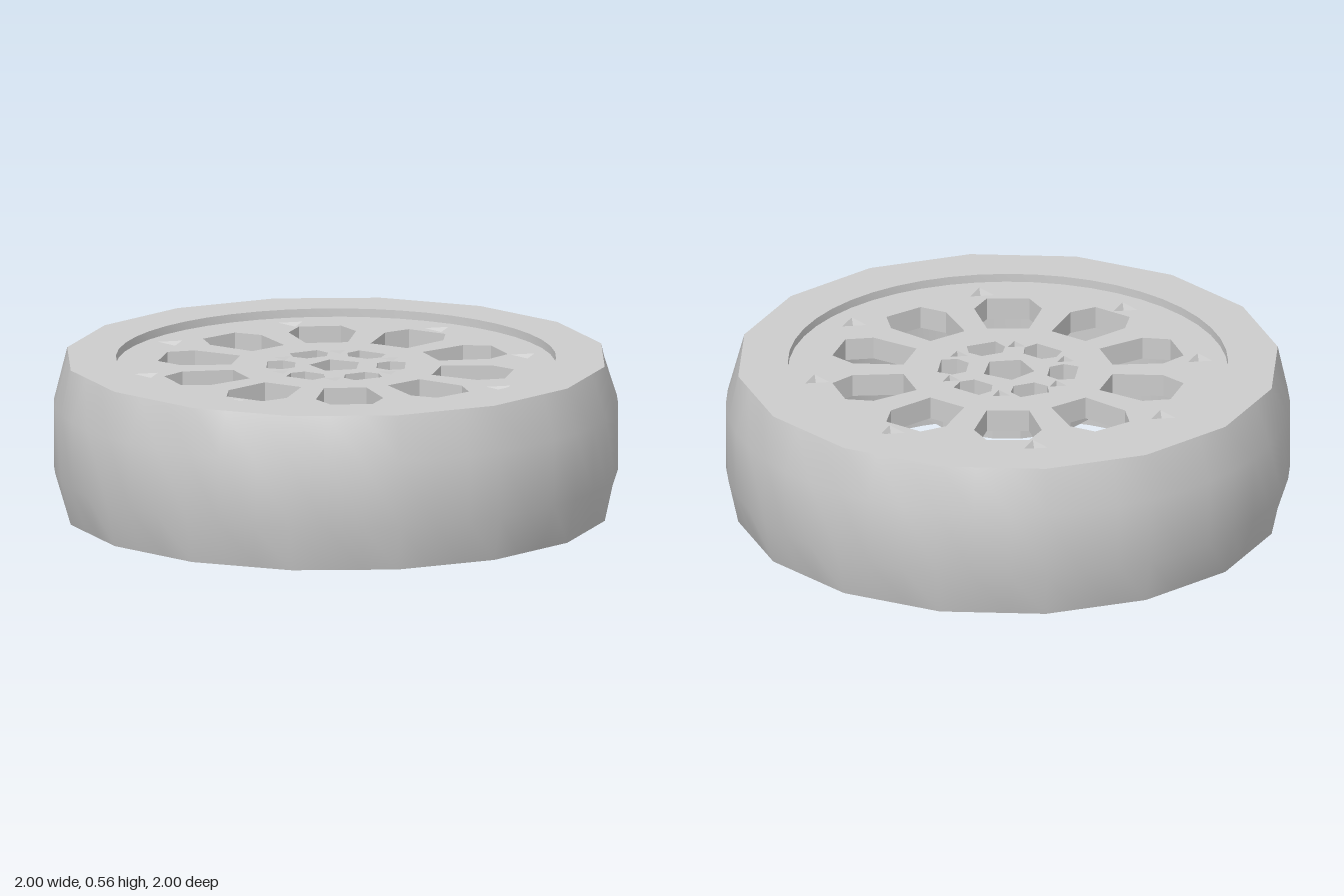
import * as THREE from 'three';
import { toCreasedNormals } from 'three/addons/utils/BufferGeometryUtils.js';

const SIDES = 48, EDGE_SIDES = 16;
const EDGE_RADIUS = 0.965, DISC_TOP = 0.53, DISC_BOTTOM = 0.45, HUB_BOTTOM = 0.4;
const DEG = Math.PI / 180;

// 2D outline point from a ground-plane position (x, z)
const ground = (x, z) => new THREE.Vector2(x, -z);

// Regular polygon, counter-clockwise from above
function ring(radius, sides, start = 0) {
  return Array.from({ length: sides }, (_, i) => {
    const a = start - (i / sides) * Math.PI * 2;
    return ground(radius * Math.cos(a), radius * Math.sin(a));
  });
}

// Outline given as (distance from axle, sideways offset), turned to an angle
function radialOutline(points, angle) {
  const c = Math.cos(angle), s = Math.sin(angle);
  return points.map(([r, t]) => ground(r * c - t * s, r * s + t * c));
}

// Horizontal plate with holes between two heights
function plate(outline, holes, bottom, top) {
  const shape = new THREE.Shape(outline);
  holes.forEach((h) => shape.holes.push(new THREE.Path(h)));
  const geo = new THREE.ExtrudeGeometry(shape, { depth: top - bottom, bevelEnabled: false });
  geo.rotateX(-Math.PI / 2);
  geo.translate(0, bottom, 0);
  return geo;
}

const lathe = (profile) => new THREE.LatheGeometry(
  profile.map(([r, y]) => new THREE.Vector2(r, y)), SIDES);

// Cut the round edge at one radius down to a coarser polygon
function coarsenEdge(geo) {
  const pos = geo.attributes.position, step = (Math.PI * 2) / EDGE_SIDES;
  for (let i = 0; i < pos.count; i++) {
    const x = pos.getX(i), z = pos.getZ(i);
    if (Math.abs(Math.hypot(x, z) - EDGE_RADIUS) > 0.005) continue;
    const a = Math.atan2(x, z);
    const offset = a - Math.round(a / step - 0.5) * step - step / 2;
    const f = Math.cos(step / 2) / Math.cos(offset);
    pos.setX(i, x * f);
    pos.setZ(i, z * f);
  }
  return geo;
}

// Shallow three-sided pit sunk into the wheel face
function makePit(radius, depth) {
  const geo = new THREE.ConeGeometry(radius, depth, 3, 1, true).toNonIndexed();
  geo.scale(1, -1, 1);
  geo.translate(0, DISC_TOP - depth / 2, 0);
  geo.computeVertexNormals();
  return geo;
}

export function createModel() {
  const group = new THREE.Group();
  const grey = new THREE.MeshStandardMaterial({ color: 0xcccccc });
  grey.name = 'light grey';
  const add = (name, geo) => {
    const mesh = new THREE.Mesh(geo, grey);
    mesh.name = name;
    group.add(mesh);
    return mesh;
  };

  // Tyre with a shallow lip around the wheel face
  add('tyre', toCreasedNormals(coarsenEdge(lathe([
    [0.78, 0], [EDGE_RADIUS, 0], [1, 0.16], [1, 0.4], [EDGE_RADIUS, 0.56],
    [0.78, 0.56], [0.78, DISC_TOP],
  ])), 32 * DEG));

  // Hollow barrel behind the face, stepped at its open end
  add('rimBarrel', toCreasedNormals(lathe([
    [0.72, DISC_BOTTOM], [0.72, 0.09], [0.78, 0.09], [0.78, 0],
  ]), 32 * DEG));

  // Ten openings between the spokes
  const spokeHole = [[0.365, -0.075], [0.54, -0.12], [0.63, -0.075],
    [0.63, 0.075], [0.54, 0.12], [0.365, 0.075]];
  const spokeHoles = Array.from({ length: 10 }, (_, i) =>
    radialOutline(spokeHole, (-82 + 36 * i) * DEG));

  // Six openings in the hub around a five-sided axle hole
  const hubHole = [[0.145, -0.04], [0.19, -0.07], [0.245, -0.055],
    [0.245, 0.055], [0.19, 0.07], [0.145, 0.04]];
  const hubHoles = Array.from({ length: 6 }, (_, i) =>
    radialOutline(hubHole, (15 + 60 * i) * DEG));
  hubHoles.push(ring(0.095, 5, -Math.PI / 2));

  // Pits: eight near the edge of the face, six between the hub openings
  const pitOutlines = [];
  const addPits = (name, count, distance, start, radius, depth) => {
    const geo = makePit(radius, depth);
    for (let i = 0; i < count; i++) {
      const a = start + (i / count) * Math.PI * 2;
      const x = distance * Math.cos(a), z = distance * Math.sin(a);
      add(name, geo).position.set(x, 0, z);
      pitOutlines.push(ring(radius, 3, Math.PI / 2).map((p) => p.add(ground(x, z))));
    }
  };
  addPits('facePit', 8, 0.685, 0, 0.05, 0.03);
  addPits('hubPit', 6, 0.22, 45 * DEG, 0.035, 0.05);

  // Wheel face
  add('wheelFace', plate(ring(0.78, SIDES), [...spokeHoles, ...hubHoles, ...pitOutlines],
    DISC_BOTTOM, DISC_TOP));

  // Thicker hub below the face
  add('hub', plate(ring(0.32, 20), hubHoles, HUB_BOTTOM, DISC_BOTTOM));

  return group;
}
